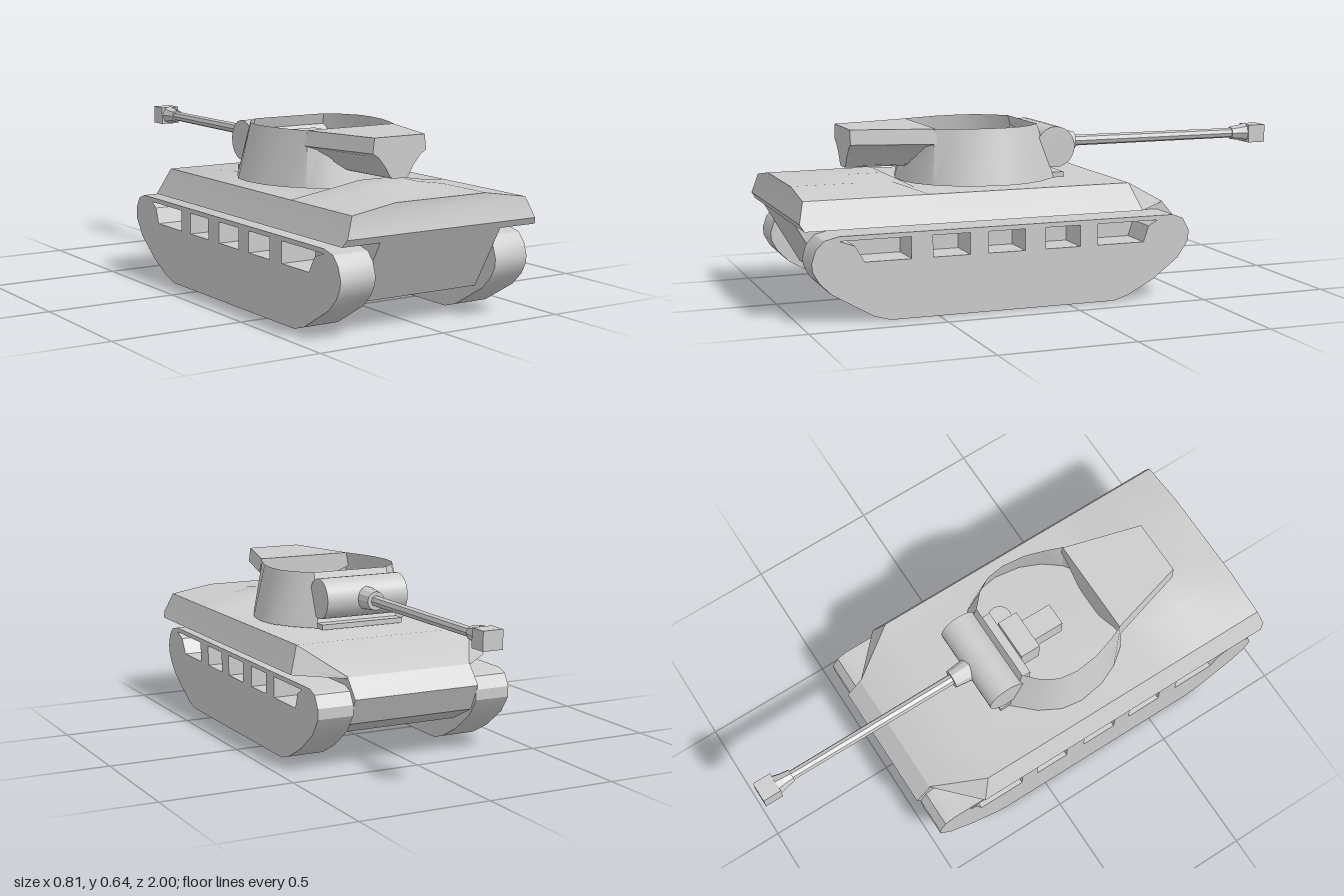
import * as THREE from 'three';
import { toCreasedNormals } from 'three/addons/utils/BufferGeometryUtils.js';

const solid = new THREE.MeshStandardMaterial({ color: 0xcccccc });
const thin = new THREE.MeshStandardMaterial({ color: 0xcccccc, side: THREE.DoubleSide });

function part(parent, name, geometry, pos = [0, 0, 0], material = solid) {
  const mesh = new THREE.Mesh(geometry, material);
  mesh.name = name;
  mesh.position.set(...pos);
  parent.add(mesh);
  return mesh;
}

// Skin closed rings of [x, y, z] points, with optional end caps
function loft(rings, caps = true) {
  const v = [];
  const n = rings[0].length;
  const tri = (a, b, c) => v.push(...a, ...b, ...c);
  for (let s = 0; s < rings.length - 1; s++) {
    for (let i = 0; i < n; i++) {
      const j = (i + 1) % n, p = rings[s], q = rings[s + 1];
      tri(p[i], p[j], q[j]);
      tri(p[i], q[j], q[i]);
    }
  }
  if (caps) {
    const first = rings[0], last = rings[rings.length - 1];
    // zip opposite points of each mirrored ring into strips
    for (let i = 0; i < n / 2 - 1; i++) {
      const a = n - 1 - i, b = n - 2 - i;
      tri(last[a], last[i], last[i + 1]);
      tri(last[a], last[i + 1], last[b]);
      tri(first[a], first[i + 1], first[i]);
      tri(first[a], first[b], first[i + 1]);
    }
  }
  const g = new THREE.BufferGeometry();
  g.setAttribute('position', new THREE.Float32BufferAttribute(v, 3));
  g.computeVertexNormals();
  return toCreasedNormals(g, 0.5);
}

// Complete a right-hand half ring with its mirror image
const mirrored = half => [...half, ...half.slice().reverse().map(([x, y, z]) => [-x, y, z])];

// Extrude a (z, y) side profile across x, centred
function sideExtrude(points, width, holes = []) {
  const toVec = ([z, y]) => new THREE.Vector2(z, y);
  const shape = new THREE.Shape(points.map(toVec));
  for (const h of holes) shape.holes.push(new THREE.Path(h.map(toVec)));
  const g = new THREE.ExtrudeGeometry(shape, { depth: width, bevelEnabled: false });
  g.rotateY(-Math.PI / 2).translate(width / 2, 0, 0);
  return toCreasedNormals(g, 0.5);
}

function buildTracks(group) {
  const outline = [[0.68, 0], [0.74, 0.018], [0.89, 0.105], [0.935, 0.15], [0.957, 0.19], [0.96, 0.22],
    [0.945, 0.265], [0.915, 0.297], [0.86, 0.31], [-0.42, 0.31], [-0.46, 0.295], [-0.485, 0.25],
    [-0.485, 0.21], [-0.44, 0.145], [-0.34, 0.07], [-0.24, 0.018], [-0.18, 0]];
  const windows = [[0.52, 0.38], [0.31, 0.17], [0.09, -0.045]].map(
    ([a, b]) => [[a, 0.214], [a, 0.293], [b, 0.293], [b, 0.214]]);
  windows.push([[0.86, 0.293], [0.6, 0.293], [0.6, 0.214], [0.77, 0.214], [0.805, 0.273]]);
  windows.push([[-0.115, 0.293], [-0.355, 0.293], [-0.32, 0.273], [-0.3, 0.214], [-0.115, 0.214]]);
  const g = sideExtrude(outline, 0.14, windows);
  part(group, 'leftTrack', g, [0.325, 0, 0]);
  part(group, 'rightTrack', g, [-0.325, 0, 0]);
}

function buildHull(group) {
  part(group, 'lowerHull', sideExtrude([[0.85, 0.107], [0.998, 0.36], [-0.42, 0.34], [-0.44, 0.34],
    [-0.5, 0.27], [-0.45, 0.17], [-0.32, 0.107]], 0.508));

  // Upper hull: deck height at three stations, with its flared sides
  const section = (z, mid, centre, zSill = z, zBottom = z) => mirrored([
    [0.407, 0.335, zBottom], [0.396, 0.36, zSill], [0.365, 0.435, z], [0.19, mid, z], [0.08, centre, z]]);
  const nose = mirrored([[0.25, 0.335, -0.44], [0.25, 0.337, -0.44], [0.25, 0.34, -0.44],
    [0.13, 0.34, -0.44], [0.055, 0.34, -0.44]]);
  part(group, 'upperHull', loft([
    nose,
    section(-0.25, 0.435, 0.435, -0.28, -0.29),
    section(0.52, 0.435, 0.435),
    section(0.61, 0.462, 0.48),
    section(0.74, 0.463, 0.48),
    section(0.87, 0.463, 0.463),
    section(0.98, 0.463, 0.463, 1, 0.985),
  ]));
}

function buildTurret(group) {
  // Sloped open-topped wall, rear to front
  const base = [[0.05, 0.528], [0.13, 0.505], [0.2, 0.455], [0.25, 0.39], [0.285, 0.31], [0.3, 0.21],
    [0.288, 0.13], [0.245, 0.05], [0.17, -0.03]];
  const rim = [[0.05, 0.475], [0.12, 0.465], [0.19, 0.445], [0.215, 0.38], [0.24, 0.3], [0.25, 0.21],
    [0.24, 0.14], [0.205, 0.08], [0.155, 0.033]];
  const ring = (pts, y) => mirrored(pts.map(([x, z]) => [x, y, z]));
  part(group, 'turretWall', loft([ring(base, 0.44), ring(rim, 0.645)], false), [0, 0, 0], thin);
  part(group, 'turretFrontSill', new THREE.BoxGeometry(0.34, 0.02, 0.08), [0, 0.45, -0.03]);

  // Counterweight bustle with a funnel-shaped underside
  const bustle = (xs, z) => mirrored(
    [0.497, 0.505, 0.54, 0.575, 0.59, 0.645].map((y, i) => [xs[i], y, z]));
  part(group, 'bustle', loft([
    bustle([0.05, 0.075, 0.12, 0.16, 0.2, 0.19], 0.44),
    bustle([0.028, 0.04, 0.06, 0.09, 0.114, 0.107], 0.74),
  ]));

  // Breech and crew fittings inside the open top
  part(group, 'breechBlock', new THREE.BoxGeometry(0.16, 0.1, 0.08), [0, 0.55, 0.12]);
  part(group, 'breechGuard', new THREE.BoxGeometry(0.09, 0.08, 0.13), [0, 0.545, 0.22]);
  part(group, 'gunCradle', new THREE.BoxGeometry(0.28, 0.09, 0.07), [0, 0.53, 0.045]);
  part(group, 'crewSeat', new THREE.CylinderGeometry(0.045, 0.045, 0.03, 16), [0.115, 0.53, 0.11]);
}

function buildGun(group) {
  const y = 0.555;
  const mantlet = new THREE.CylinderGeometry(0.077, 0.077, 0.34, 24).rotateZ(Math.PI / 2);
  part(group, 'mantlet', mantlet, [0, y, -0.038]);
  // Tapered tube along z; r0 is the radius at the muzzle-side end
  const tube = (name, r0, r1, z0, z1, sides) => {
    const g = new THREE.CylinderGeometry(r1, r0, z1 - z0, sides).rotateX(Math.PI / 2);
    return part(group, name, toCreasedNormals(g, 0.5), [0, y, (z0 + z1) / 2]);
  };
  tube('barrelCollar', 0.036, 0.046, -0.178, -0.09, 12);
  tube('barrel', 0.019, 0.021, -0.93, -0.15, 8);
  tube('muzzleCollar', 0.03, 0.025, -0.9, -0.865, 8);
  tube('muzzleTaper', 0.038, 0.03, -0.93, -0.9, 8);
  part(group, 'muzzleBrake', new THREE.BoxGeometry(0.078, 0.07, 0.072), [0, y - 0.003, -0.964]);
}

export function createModel() {
  const model = new THREE.Group();
  model.name = 'tank';
  for (const [name, build] of [['tracks', buildTracks], ['hull', buildHull],
    ['turret', buildTurret], ['gun', buildGun]]) {
    const group = new THREE.Group();
    group.name = name;
    build(group);
    model.add(group);
  }
  return model;
}
